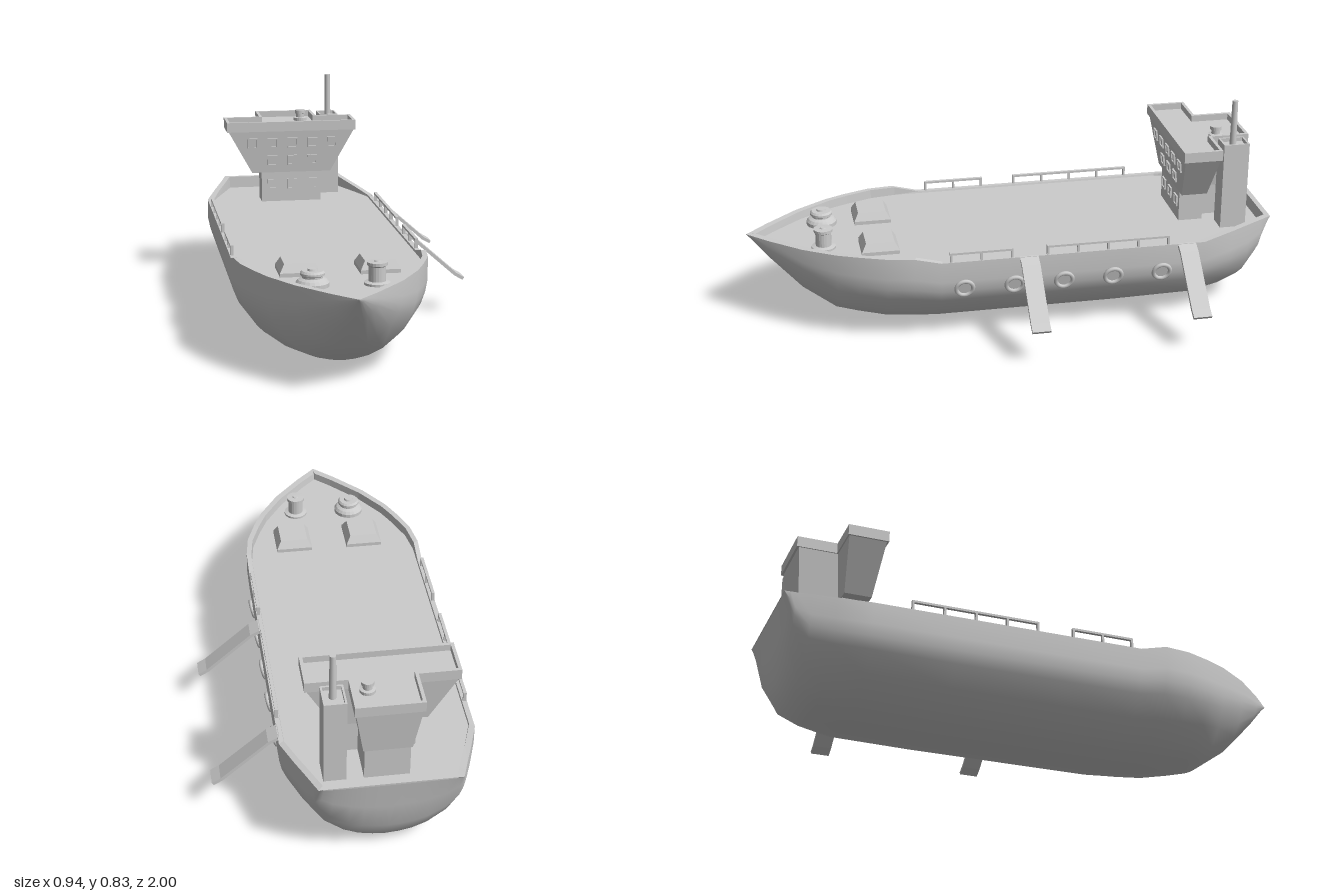
import * as THREE from 'three';

const CX = -0.12;      // hull centreline
const DECK = 0.328;
const smoothMat = new THREE.MeshStandardMaterial({ color: 0xcccccc, side: THREE.DoubleSide });
const flatMat = new THREE.MeshStandardMaterial({ color: 0xcccccc, flatShading: true, side: THREE.DoubleSide });

// Skin over rings of [x, y, z]; optionally closed around and capped on the last ring
function loft(rings, closed, cap) {
  const n = rings[0].length, index = [];
  for (let i = 0; i < rings.length - 1; i++) {
    for (let j = 0; j < (closed ? n : n - 1); j++) {
      const a = i * n + j, b = i * n + (j + 1) % n;
      index.push(a, b, b + n, a, b + n, a + n);
    }
  }
  if (cap) {
    const base = (rings.length - 1) * n;
    const contour = rings.at(-1).map(p => new THREE.Vector2(p[0], -p[2]));
    THREE.ShapeUtils.triangulateShape(contour, []).forEach(f => index.push(...f.map(k => base + k)));
  }
  const geo = new THREE.BufferGeometry();
  geo.setAttribute('position', new THREE.Float32BufferAttribute(rings.flat(2), 3));
  geo.setIndex(index);
  geo.computeVertexNormals();
  return geo;
}

function add(parent, name, geo, mat = flatMat, x = 0, y = 0, z = 0) {
  const m = new THREE.Mesh(geo, mat);
  m.name = name;
  m.position.set(x, y, z);
  parent.add(m);
  return m;
}

const box = (w, h, d) => new THREE.BoxGeometry(w, h, d);

const rect = (x, z, hx, hz, y) => [[x - hx, y, z + hz], [x + hx, y, z + hz], [x + hx, y, z - hz], [x - hx, y, z - hz]];

// T-shaped outline: wide wings in front, narrow stem behind
const tee = (y, wing, stem, zf, zm, zb) => [
  [CX - wing, y, zf], [CX + wing, y, zf], [CX + wing, y, zm], [CX + stem, y, zm],
  [CX + stem, y, zb], [CX - stem, y, zb], [CX - stem, y, zm], [CX - wing, y, zm]];

const lathe = pts => new THREE.LatheGeometry(pts.map(p => new THREE.Vector2(...p)), 20);

function buildHull(ship) {
  // Stations: z, half width, keel height, sheer height
  const stations = [
    [-1, 0.25, 0.368, 0.375], [-0.98, 0.257, 0.25, 0.372], [-0.962, 0.263, 0.14, 0.369],
    [-0.91, 0.281, 0.05, 0.362], [-0.83, 0.31, 0.022, 0.351], [-0.71, 0.35, 0.006, 0.335],
    [-0.4, 0.35, 0, 0.335], [0, 0.35, 0, 0.335], [0.3, 0.35, 0, 0.335], [0.4, 0.35, 0.005, 0.36],
    [0.5, 0.335, 0.013, 0.362], [0.6, 0.298, 0.032, 0.362], [0.68, 0.262, 0.05, 0.361],
    [0.8, 0.185, 0.135, 0.359], [0.92, 0.08, 0.262, 0.357], [0.98, 0.02, 0.335, 0.356], [1, 0, 0.354, 0.356]];
  const half = [[1, 1], [1, 0.76], [0.975, 0.63], [0.925, 0.5], [0.77, 0.29], [0.53, 0.12], [0.34, 0.045], [0.16, 0.012]];
  const profile = [...half.map(([f, g]) => [-f, g]), [0, 0], ...[...half].reverse()];
  const rings = stations.map(([z, w, k, t]) => profile.map(([f, g]) => [CX + w * f, k + (t - k) * g, z]));
  add(ship, 'hull', loft(rings, false), smoothMat);

  // Bulwark rim, its inner wall and the deck
  const rim = (inset, zScale, y) => {
    const side = s => stations.map(([z, w, , t]) => [CX + s * Math.max(0, w - inset), y ?? t, z * zScale]);
    return [...side(-1), ...side(1).reverse().slice(1)];
  };
  add(ship, 'deckAndBulwark', loft([rim(0, 1), rim(0.018, 0.98), rim(0.02, 0.978, DECK)], true, true));
}

function buildBridge(ship) {
  const bridge = new THREE.Group();
  bridge.name = 'bridge';
  ship.add(bridge);
  // Base, flared upper storeys, roof band and sunken roof in one skin
  add(bridge, 'bridgeTower', loft([
    tee(DECK - 0.01, 0.125, 0.08, -0.67, -0.765, -0.91),
    tee(0.452, 0.125, 0.08, -0.67, -0.765, -0.91),
    tee(0.452, 0.165, 0.085, -0.667, -0.768, -0.913),
    tee(0.63, 0.263, 0.115, -0.647, -0.785, -0.93),
    tee(0.63, 0.27, 0.12, -0.64, -0.79, -0.938),
    tee(0.67, 0.27, 0.12, -0.64, -0.79, -0.938),
    tee(0.67, 0.258, 0.108, -0.652, -0.778, -0.926),
    tee(0.645, 0.258, 0.108, -0.652, -0.778, -0.926)], true, true));

  // Framed windows on the front face
  const square = (P, s) => new P([[-s, -s], [s, -s], [s, s], [-s, s]].map(p => new THREE.Vector2(...p)));
  const shape = square(THREE.Shape, 0.021);
  shape.holes.push(square(THREE.Path, 0.016));
  const frame = new THREE.ExtrudeGeometry(shape, { depth: 0.008, bevelEnabled: false });
  for (const [y, z, count, tilt] of [[0.58, -0.654, 5, 0.11], [0.505, -0.662, 3, 0.11], [0.402, -0.671, 3, 0]]) {
    for (let i = 0; i < count; i++) {
      const x = CX + 0.003 + (i - (count - 1) / 2) * 0.084;
      add(bridge, 'windowFrame', frame, flatMat, x, y, z).rotation.x = tilt;
      add(bridge, 'windowPane', box(0.034, 0.034, 0.004), flatMat, x, y, z + 0.001).rotation.x = tilt;
    }
  }

  // Roof vent, funnel and mast
  add(bridge, 'roofVent', lathe([[0.028, 0], [0.028, 0.012], [0.017, 0.014], [0.017, 0.028],
    [0.022, 0.03], [0.022, 0.044], [0, 0.044]]), flatMat, -0.06, 0.645, -0.825);
  add(bridge, 'funnel', loft([rect(0.061, -0.86, 0.04, 0.05, DECK - 0.01), rect(0.061, -0.86, 0.04, 0.05, 0.67),
    rect(0.061, -0.86, 0.033, 0.043, 0.67), rect(0.061, -0.86, 0.033, 0.043, 0.655)], true, true));
  add(bridge, 'mast', new THREE.CylinderGeometry(0.011, 0.013, 0.18, 12), smoothMat, 0.063, 0.745, -0.855);
}

function buildDeckGear(ship) {
  // Bevelled cargo hatches
  for (const x of [-0.255, 0.03]) {
    add(ship, 'hatch', loft([rect(x, 0.51, 0.071, 0.071, DECK), rect(x, 0.51, 0.071, 0.071, 0.342),
      rect(x, 0.51, 0.054, 0.054, 0.372)], true, true));
  }
  // Low capstan and tall bollard on the foredeck
  add(ship, 'capstan', lathe([[0.058, 0], [0.058, 0.014], [0.05, 0.024], [0.036, 0.03], [0.036, 0.036], [0.043, 0.04],
    [0.043, 0.048], [0.037, 0.055], [0.018, 0.055], [0.016, 0.062], [0, 0.062]]), flatMat, -0.23, DECK, 0.705);
  add(ship, 'bollard', lathe([[0.046, 0], [0.046, 0.008], [0.03, 0.012], [0.03, 0.064], [0.036, 0.068],
    [0.036, 0.079], [0.012, 0.08], [0.01, 0.084], [0, 0.084]]), flatMat, -0.008, DECK, 0.715);

  // Side rails, two runs per side
  for (const s of [-1, 1]) {
    for (const [z0, z1, bays] of [[0.03, 0.268, 2], [-0.572, -0.098, 4]]) {
      const rail = new THREE.Group();
      rail.name = 'railing';
      rail.position.x = CX + s * 0.342;
      ship.add(rail);
      add(rail, 'railBar', box(0.012, 0.008, z1 - z0), flatMat, 0, 0.368, (z0 + z1) / 2);
      for (let i = 0; i <= bays; i++) {
        add(rail, 'railPost', box(0.012, 0.044, 0.008), flatMat, 0, 0.35, z0 + 0.004 + (z1 - z0 - 0.008) * i / bays);
      }
    }
  }
}

function buildLeftSide(ship) {
  // Portholes along the left side only
  for (let i = 0; i < 5; i++) {
    const port = new THREE.Group();
    port.name = 'porthole';
    port.position.set(0.228, 0.225, 0.215 - i * 0.19);
    port.rotation.set(0, Math.PI / 2, -0.24, 'ZYX');
    add(port, 'portholeRing', new THREE.TorusGeometry(0.032, 0.008, 8, 24), smoothMat);
    add(port, 'portholeGlass', new THREE.CircleGeometry(0.03, 24), smoothMat);
    ship.add(port);
  }
  // Two boarding ramps with bent ends
  const top = [[0.225, 0.336], [0.265, 0.316], [0.438, 0.163], [0.47, 0.144]];
  const under = [[0.463, 0.134], [0.43, 0.153], [0.258, 0.306], [0.225, 0.322]];
  const shape = new THREE.Shape([...top, ...under].map(p => new THREE.Vector2(...p)));
  const ramp = new THREE.ExtrudeGeometry(shape, { depth: 0.07, bevelEnabled: false });
  for (const z of [-0.065, -0.675]) add(ship, 'boardingRamp', ramp, flatMat, 0, 0, z);
}

export function createModel() {
  const ship = new THREE.Group();
  ship.name = 'cargoShip';
  buildHull(ship);
  buildBridge(ship);
  buildDeckGear(ship);
  buildLeftSide(ship);
  return ship;
}
